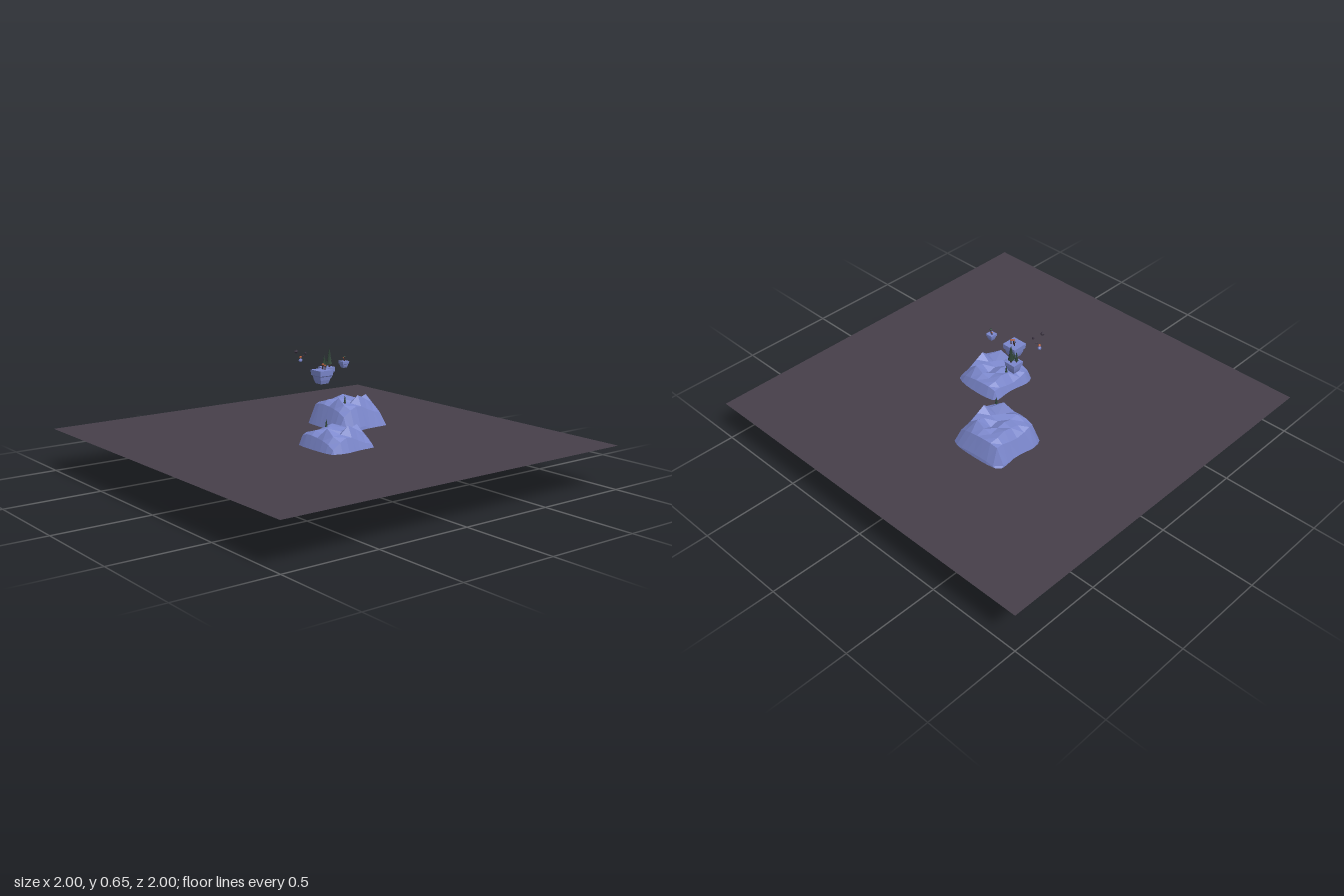
import * as THREE from 'three';

const mat = (color, side = THREE.FrontSide) =>
  new THREE.MeshStandardMaterial({ color, flatShading: true, side });
const rock = mat(0x7b87cc);
const ground = mat(0x463f4a, THREE.DoubleSide);
const leaf = mat(0x2c4034);
const bark = mat(0x3a2c30);
const bloom = mat(0xb5603c);
const dark = mat(0x38303e);

function add(parent, name, geometry, material, x = 0, y = 0, z = 0) {
  const mesh = new THREE.Mesh(geometry, material);
  mesh.name = name;
  mesh.position.set(x, y, z);
  parent.add(mesh);
  return mesh;
}

// Square rings from summit to foot: half width and height
const RADII = [0, 0.045, 0.09, 0.125, 0.157, 0.187];
const HEIGHTS = [0.3, 0.3, 0.3, 0.272, 0.17, 0];
// Crag heights of the middle 5 x 5 points, back to front
const CRAGS = [
  [0.295, 0.29, 0.30, 0.325, 0.29],
  [0.31, 0.30, 0.28, 0.31, 0.315],
  [0.30, 0.31, 0.29, 0.30, 0.338],
  [0.29, 0.30, 0.31, 0.27, 0.30],
  [0.285, 0.305, 0.29, 0.328, 0.295],
];
const wobble = (i, j, k) => Math.sin(i * 12.9 + j * 7.3 + k * 4.1);

// Craggy block: a grid bent over into steep walls
function mountain(name, x, y, z) {
  const group = new THREE.Group();
  group.name = name;
  const geo = new THREE.PlaneGeometry(10, 10, 10, 10).rotateX(-Math.PI / 2);
  const p = geo.attributes.position;
  for (let n = 0; n < p.count; n++) {
    const i = Math.round(p.getX(n)), j = Math.round(p.getZ(n));
    const ring = Math.max(Math.abs(i), Math.abs(j));
    const middle = ring === 3 || ring === 4;
    const corner = Math.abs(i * j) / Math.max(1, ring * ring);
    const s = (RADII[ring] / Math.max(1, ring)) * (middle ? 1 - 0.05 * corner ** 3 : 1);
    const jitter = middle ? 0.006 : 0;
    const h = ring <= 2 ? CRAGS[j + 2][i + 2]
      : HEIGHTS[ring] + (middle ? 0.018 * wobble(i, j, 3) - 0.02 * corner ** 3 : 0);
    p.setXYZ(n, i * s + jitter * wobble(i, j, 1), h, j * s + jitter * wobble(i, j, 2));
  }
  geo.computeVertexNormals();
  add(group, 'crags', geo, rock);
  add(group, 'underside', new THREE.PlaneGeometry(0.374, 0.374).rotateX(Math.PI / 2), rock);
  group.position.set(x, y, z);
  return group;
}

// Floating four-sided rock with its flat top at y = 0
function floatingRock(name, half, depth, x, y, z) {
  const group = new THREE.Group();
  group.name = name;
  const profile = [[0, -1], [0.55, -0.97], [0.72, -0.7], [0.8, -0.45], [0.95, -0.38], [1, 0], [0, 0]]
    .map(([r, h]) => new THREE.Vector2(r * half * Math.SQRT2, h * depth));
  add(group, 'rock', new THREE.LatheGeometry(profile, 4).rotateY(Math.PI / 4), rock);
  group.position.set(x, y, z);
  return group;
}

// Conifer: trunk and three stacked cones
function tree(parent, x, y, z, height) {
  const group = new THREE.Group();
  group.name = 'conifer';
  add(group, 'trunk', new THREE.CylinderGeometry(0.05, 0.06, 0.25, 5), bark, 0, 0.12, 0);
  for (let k = 0; k < 3; k++) {
    add(group, 'foliage', new THREE.ConeGeometry(0.17 - k * 0.04, 0.42, 6), leaf, 0, 0.36 + k * 0.215, 0);
  }
  group.scale.setScalar(height);
  group.position.set(x, y, z);
  parent.add(group);
}

// Small plant: stem with a faceted head
function plant(parent, x, z, height, head) {
  add(parent, 'stem', new THREE.CylinderGeometry(0.002, 0.003, height, 5), bark, x, height / 2, z);
  add(parent, 'head', new THREE.IcosahedronGeometry(height * 0.3, 0), head, x, height, z).scale.y = 0.7;
}

export function createModel() {
  const model = new THREE.Group();
  model.name = 'floatingIslands';

  add(model, 'groundSheet', new THREE.PlaneGeometry(2, 2).rotateX(-Math.PI / 2), ground, 0, 0.22, 0);

  // Two mountains, each with a lone tree
  const rear = mountain('rearMountain', -0.175, 0.05, -0.26);
  tree(rear, 0.085, 0.3, 0.08, 0.045);
  const front = mountain('frontMountain', 0.18, 0, 0.085);
  tree(front, -0.08, 0.295, 0, 0.045);

  // Floating rock with conifers
  const grove = floatingRock('groveRock', 0.031, 0.058, -0.1, 0.553, -0.07);
  tree(grove, 0.007, 0, -0.012, 0.095);
  tree(grove, -0.012, 0, 0.006, 0.06);
  tree(grove, 0.012, 0, 0.014, 0.045);

  // Floating rock with small plants
  const garden = floatingRock('gardenRock', 0.04, 0.07, -0.01, 0.561, 0.028);
  plant(garden, 0, -0.006, 0.026, bloom);
  plant(garden, -0.013, -0.012, 0.022, dark);
  plant(garden, 0.012, -0.01, 0.022, bloom);

  // Little rock with plants
  const islet = floatingRock('smallRock', 0.019, 0.033, 0.08, 0.61, -0.038);
  plant(islet, 0.006, 0.002, 0.022, leaf);
  plant(islet, -0.008, -0.004, 0.014, bloom);

  model.add(rear, front, grove, garden, islet);

  // Drifting fragments
  for (const [x, y, z, r, m] of [
    [-0.128, 0.643, 0.098, 0.01, dark], [-0.112, 0.632, 0.052, 0.007, dark],
    [-0.15, 0.592, 0.055, 0.01, rock], [-0.15, 0.608, 0.055, 0.007, bloom],
    [-0.135, 0.615, 0.05, 0.005, dark],
  ]) {
    add(model, 'fragment', new THREE.IcosahedronGeometry(r, 0), m, x, y, z).rotation.set(x * 20, z * 30, 0);
  }
  return model;
}
